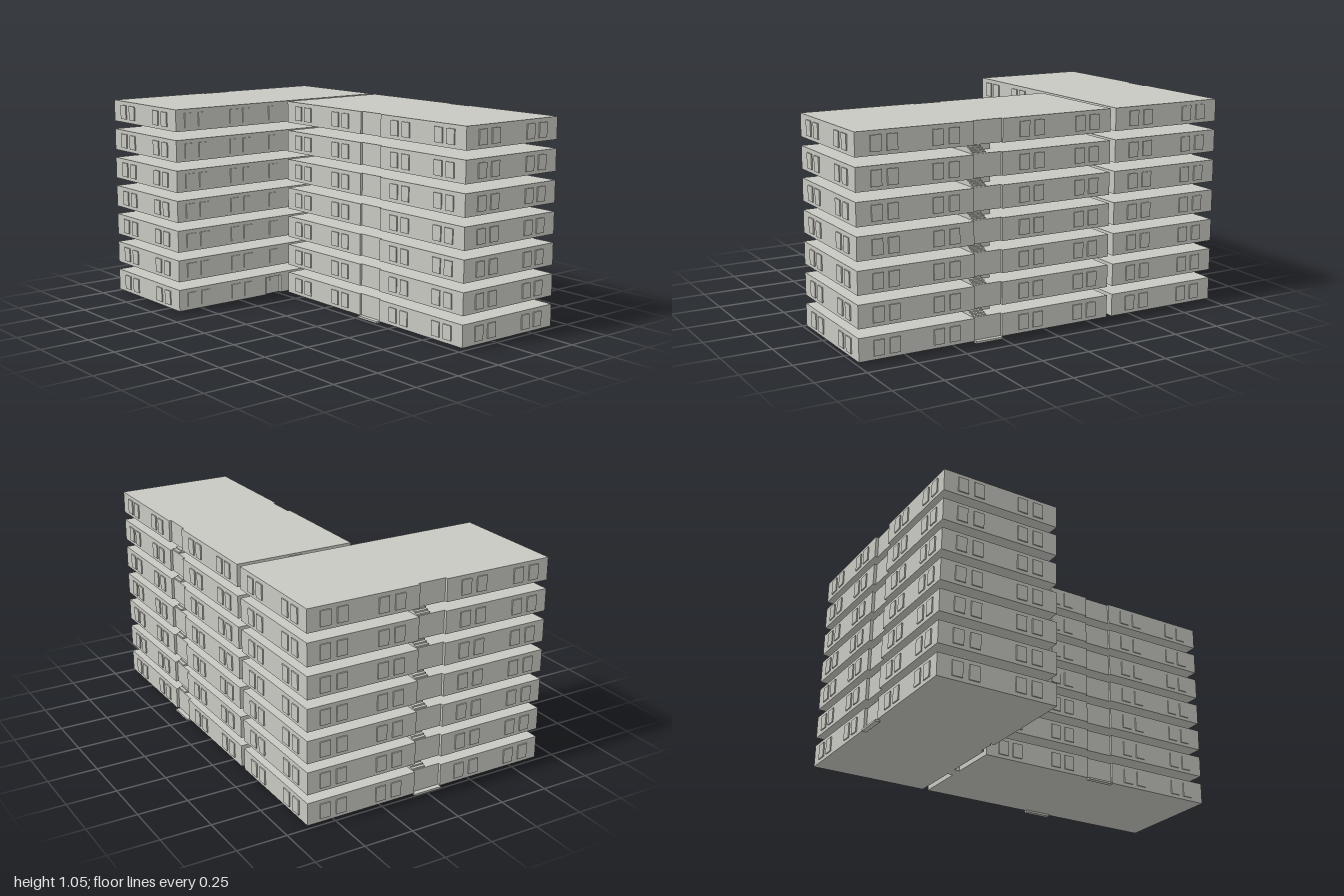
import * as THREE from 'three';

const FLOORS = 7, STEP = 0.155, BASE = 0.01, H = 0.112;

export function createModel() {
  const model = new THREE.Group();
  model.name = 'apartmentBuilding';
  const concrete = new THREE.MeshStandardMaterial({ color: 0xc8c8c2 });
  concrete.name = 'concreteGrey';

  const add = (parent, name, geometry) => {
    const mesh = new THREE.Mesh(geometry, concrete);
    mesh.name = name;
    parent.add(mesh);
    return mesh;
  };
  // Box given by its lower and upper limits on each axis
  const box = (parent, name, x0, x1, y0, y1, z0, z1) => {
    const mesh = add(parent, name, new THREE.BoxGeometry(x1 - x0, y1 - y0, z1 - z0));
    mesh.position.set((x0 + x1) / 2, (y0 + y1) / 2, (z0 + z1) / 2);
    return mesh;
  };
  // Plan outline in [x, z], extruded upwards
  const storey = (parent, name, points, y, height) => {
    const shape = new THREE.Shape(points.map(([x, z]) => new THREE.Vector2(x, -z)));
    const geometry = new THREE.ExtrudeGeometry(shape, { depth: height, bevelEnabled: false });
    geometry.rotateX(-Math.PI / 2);
    add(parent, name, geometry).position.y = y;
  };

  // Plans with shallow recesses at the stairwells
  const frontPlan = [
    [0.03, 0.99], [0.64, 0.99], [0.64, 0.4], [0.627, 0.4], [0.627, 0.25], [0.64, 0.25],
    [0.64, -0.35], [0.03, -0.35], [0.03, 0.25], [0.042, 0.25], [0.042, 0.4], [0.03, 0.4],
  ];
  const backPlan = [
    [-0.65, -0.38], [0.64, -0.38], [0.64, -0.99], [0.066, -0.99],
    [0.066, -0.975], [-0.08, -0.975], [-0.08, -0.99], [-0.65, -0.99],
  ];
  const doorNotch = [[-0.1, -0.38], [-0.1, -0.4], [0, -0.4], [0, -0.38]];
  const groundPlan = [backPlan[0], ...doorNotch, ...backPlan.slice(1)];

  // Window rows: wall axis, wall position, outward direction, window centres
  const rows = [
    ['z', 0.99, 1, [0.135, 0.22, 0.453, 0.537]],
    ['z', -0.99, -1, [-0.565, -0.478, -0.27, -0.185, 0.17, 0.254, 0.465, 0.55]],
    ['z', -0.38, 1, [-0.573, -0.49, -0.298, -0.217, -0.05]],
    ['x', -0.65, -1, [-0.89, -0.805, -0.57, -0.487]],
    ['x', 0.64, 1, [-0.89, -0.805, -0.57, -0.487]],
  ];
  for (const [wall, dir] of [[0.64, 1], [0.03, -1]]) {
    rows.push(['x', wall, dir, [-0.254, -0.174, 0.053, 0.133, 0.503, 0.585, 0.81, 0.89]]);
  }
  const W = 0.0265, OUT = 0.006;

  // Switchback stair in the gap between storeys, running along +x from the facade
  const makeStair = (y, gap) => {
    const stair = new THREE.Group();
    stair.name = 'stair';
    const n = 6;
    for (let i = 0; i < n; i++) {
      const x = -i * 0.016;
      box(stair, 'lowerStep', x - 0.016, x, y, y + gap * (i + 1) / n, 0.003, 0.073);
    }
    box(stair, 'halfLanding', -0.195, -0.096, y, y + gap, 0.003, 0.073);
    box(stair, 'upperFlight', -0.195, -0.085, y, y + gap, -0.066, 0.003);
    return stair;
  };

  for (let f = 0; f < FLOORS; f++) {
    const y = BASE + f * STEP;
    const floor = new THREE.Group();
    floor.name = 'floor' + (f + 1);
    model.add(floor);

    storey(floor, 'frontWing', frontPlan, y, H);
    storey(floor, 'backWing', f === 0 ? groundPlan : backPlan, y, H);
    box(floor, 'connector', 0.3, 0.37, y, y + H - 0.01, -0.385, -0.345);

    // Shallow window bays
    for (const [axis, wall, dir, centres] of rows) {
      for (const c of centres) {
        if (f === 0 && c === -0.05) continue;
        const a = Math.min(wall, wall + dir * OUT), b = Math.max(wall, wall + dir * OUT);
        if (axis === 'z') box(floor, 'window', c - W, c + W, y + 0.018, y + 0.092, a, b);
        else box(floor, 'window', a, b, y + 0.018, y + 0.092, c - W, c + W);
      }
    }

    // Stairs joining this storey to the next
    if (f < FLOORS - 1) {
      const frontStair = makeStair(y + H, STEP - H);
      frontStair.position.set(0.625, 0, 0.326);
      const backStair = makeStair(y + H, STEP - H);
      backStair.rotation.y = Math.PI / 2;
      backStair.position.set(-0.007, 0, -0.97);
      floor.add(frontStair, backStair);
    }
  }

  // Recessed entrance: lintel and door leaves
  const top = BASE + 0.095;
  box(model, 'doorLintel', -0.1, 0, top, BASE + H, -0.4, -0.38);
  box(model, 'doorSideLeaf', -0.088, -0.066, BASE, top, -0.4, -0.393);
  box(model, 'doorMainLeaf', -0.064, -0.003, BASE, top, -0.4, -0.395);

  // Entrance slabs at the stairwells
  box(model, 'entranceSlab', 0.627, 0.65, 0, BASE, 0.25, 0.395);
  box(model, 'entranceSlab', 0.017, 0.042, 0, BASE, 0.25, 0.395);
  box(model, 'entranceSlab', -0.08, 0.066, 0, BASE, -1, -0.975);

  return model;
}
